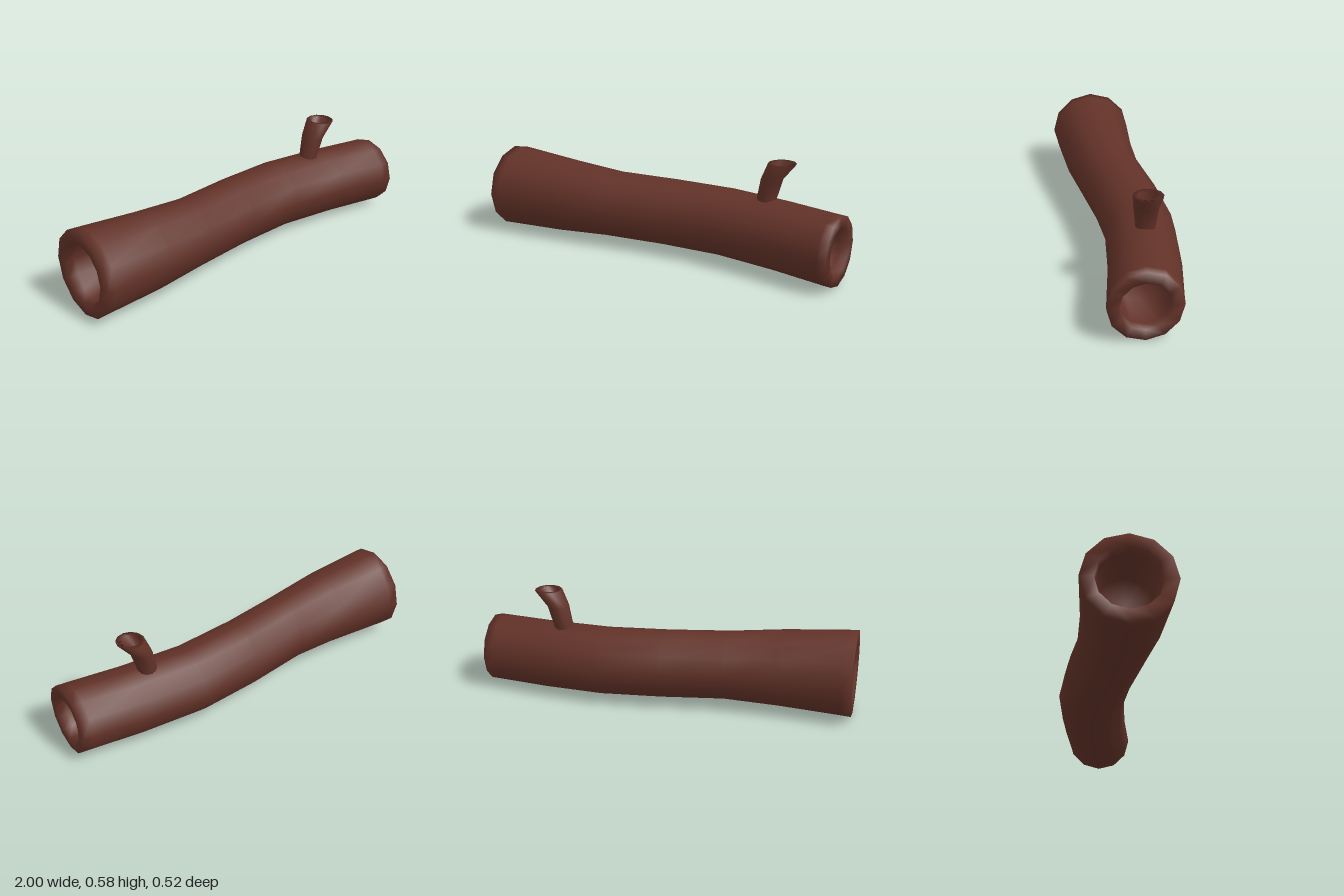
import * as THREE from 'three';

// Smooth skin through a row of rings; place(ring, angle) gives each point.
function loft(rings, sides, place) {
  const pos = [], idx = [];
  rings.forEach((ring, i) => {
    for (let j = 0; j < sides; j++) {
      pos.push(...place(ring, (j / sides) * Math.PI * 2));
      if (i === rings.length - 1) continue;
      const k = (j + 1) % sides;
      const a = i * sides + j, b = i * sides + k, c = a + sides, d = b + sides;
      idx.push(a, b, c, b, d, c);
    }
  });
  const geo = new THREE.BufferGeometry();
  geo.setAttribute('position', new THREE.Float32BufferAttribute(pos, 3));
  geo.setIndex(idx);
  geo.computeVertexNormals();
  return geo;
}

export function createModel() {
  const group = new THREE.Group();
  group.name = 'hollowLog';
  const bark = new THREE.MeshStandardMaterial({ color: 0x623228 });
  bark.name = 'brownBark';

  // Trunk: hollow at left end, outer bark, hollow at right end [x, y, z, radius]
  const trunkRings = [
    [-0.72, 0.23, 0.026, 0],
    [-0.72, 0.23, 0.026, 0.145],
    [-0.95, 0.23, 0.028, 0.156],
    [-1, 0.23, 0.028, 0.16],
    [-1, 0.23, 0.028, 0.229],
    [-0.95, 0.23, 0.028, 0.226],
    [-0.62, 0.224, 0.025, 0.205],
    [-0.33, 0.218, 0.001, 0.184],
    [0, 0.212, -0.05, 0.183],
    [0.33, 0.206, -0.078, 0.183],
    [0.66, 0.199, -0.05, 0.183],
    [0.95, 0.193, -0.006, 0.183],
    [1, 0.192, 0, 0.183],
    [1, 0.191, 0, 0.125],
    [0.95, 0.191, 0, 0.124],
    [0.75, 0.193, 0, 0.118],
    [0.75, 0.193, 0, 0],
  ];
  const trunk = new THREE.Mesh(
    loft(trunkRings, 12, ([x, y, z, r], a) => [x, y + r * Math.cos(a), z + r * Math.sin(a)]),
    bark
  );
  trunk.name = 'trunk';

  // Branch stub: flares upward and leans to +x, with a small hollow [x, y, z, rx, rz]
  const stubRings = [
    [0.566, 0.3, -0.065, 0.052, 0.05],
    [0.568, 0.38, -0.065, 0.052, 0.051],
    [0.595, 0.49, -0.064, 0.056, 0.064],
    [0.648, 0.577, -0.064, 0.073, 0.076],
    [0.642, 0.577, -0.064, 0.048, 0.048],
    [0.61, 0.51, -0.064, 0.04, 0.044],
    [0.61, 0.51, -0.064, 0, 0],
  ];
  const stub = new THREE.Mesh(
    loft(stubRings, 12, ([x, y, z, rx, rz], a) => [x + rx * Math.cos(a), y, z - rz * Math.sin(a)]),
    bark
  );
  stub.name = 'branchStub';

  group.add(trunk, stub);
  return group;
}
